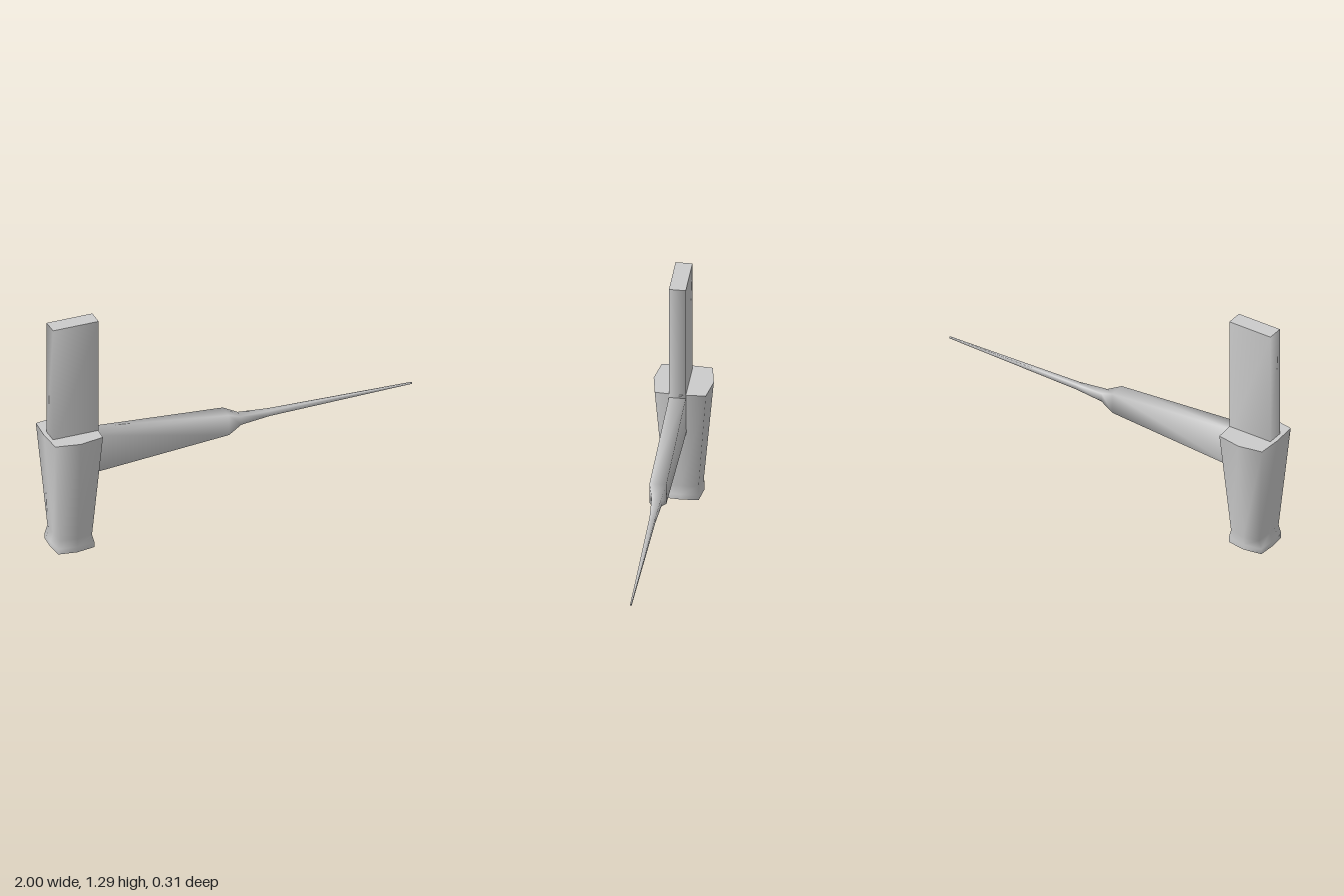
import * as THREE from 'three';

// Skin a list of equal-length rings; rings run counterclockwise seen from the last one.
function loft(name, rings) {
  const n = rings[0].length;
  const pos = rings.flat(2);
  const index = [];
  for (let s = 0; s < rings.length - 1; s++) {
    for (let i = 0; i < n; i++) {
      const a = s * n + i, b = s * n + (i + 1) % n;
      index.push(a, b, b + n, a, b + n, a + n);
    }
  }
  // Caps get their own vertices so their rims stay crisp
  const first = pos.length / 3, last = first + n;
  pos.push(...rings[0].flat(), ...rings[rings.length - 1].flat());
  for (let i = 1; i < n - 1; i++) {
    index.push(first, first + i + 1, first + i);
    index.push(last, last + i, last + i + 1);
  }
  const geo = new THREE.BufferGeometry();
  geo.setAttribute('position', new THREE.Float32BufferAttribute(pos, 3));
  geo.setIndex(index);
  geo.computeVertexNormals();
  const mesh = new THREE.Mesh(geo, new THREE.MeshStandardMaterial({ color: 0xcccccc }));
  mesh.name = name;
  return mesh;
}

// Eight-cornered ring for the handle: bowed sides on all four faces
const handleRing = ([y, cx, hx, hz]) => [
  [1, 0], [0.94, -0.85], [0, -1], [-0.94, -0.85],
  [-1, 0], [-0.94, 0.85], [0, 1], [0.94, 0.85],
].map(([x, z]) => [cx + x * hx, y, z * hz]);

// Rectangular rings, level for the blade and upright for the arm
const levelRing = (y, x0, x1, z0, z1) =>
  [[x1, y, z1], [x1, y, z0], [x0, y, z0], [x0, y, z1]];
const uprightRing = ([x, y0, y1, z0, z1]) =>
  [[x, y1, z0], [x, y1, z1], [x, y0, z1], [x, y0, z0]];

export function createModel() {
  const model = new THREE.Group();

  // Tapered handle with a slightly flared foot: y, centre x, half width, half depth
  model.add(loft('handle', [
    [0, -0.862, 0.105, 0.105],
    [0.03, -0.862, 0.105, 0.105],
    [0.075, -0.861, 0.091, 0.103],
    [0.655, -0.8625, 0.1375, 0.153],
  ].map(handleRing)));

  // Upright slab rising from the handle
  model.add(loft('upright', [0.6, 1.29].map((y) =>
    levelRing(y, -0.975, -0.726, -0.029, 0.057))));

  // Side arm narrowing at a shoulder into a long spike: x, y range, z range
  model.add(loft('arm', [
    [-0.8, 0.41, 0.64, -0.029, 0.057],
    [-0.015, 0.47, 0.584, -0.029, 0.057],
    [0.06, 0.502, 0.55, -0.014, 0.036],
    [0.22, 0.511, 0.54, -0.006, 0.024],
    [1, 0.521, 0.529, 0.008, 0.015],
  ].map(uprightRing)));

  return model;
}
